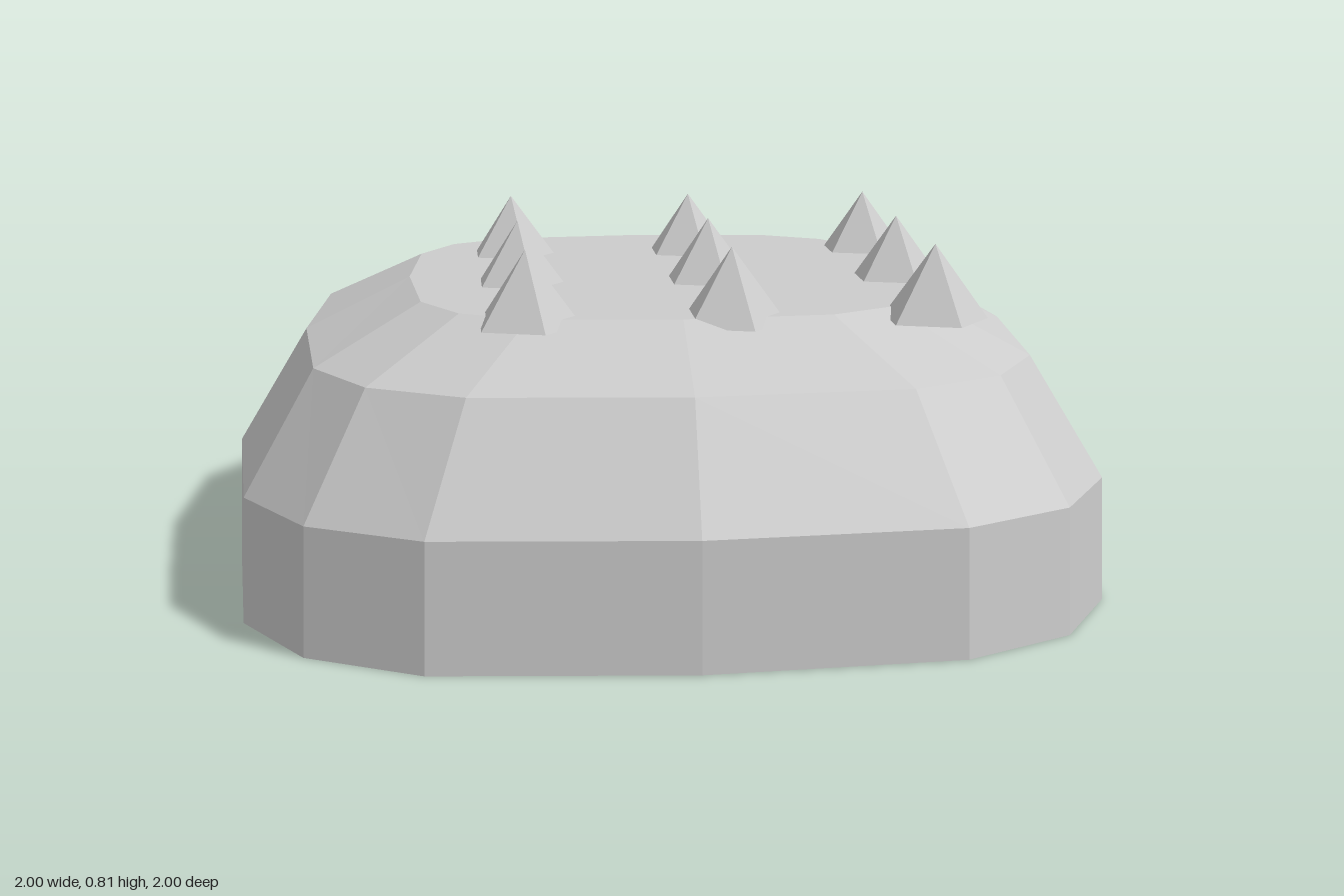
import * as THREE from 'three';

const SIDES = 16;
const ROUNDNESS = 0.6; // superellipse exponent of the plan outline

// Shell cross-sections from rim to crown: [half width x, height, half depth z]
const RINGS = [
  [1, 0, 1],
  [0.99, 0.28, 0.99],
  [0.83, 0.545, 0.85],
  [0.585, 0.665, 0.62],
  [0, 0.665, 0],
];

const squash = (v) => (Math.abs(v) < 1e-6 ? 0 : Math.sign(v) * Math.abs(v) ** ROUNDNESS);

// Lathe whose rings are reshaped into rounded squares
function shellGeometry() {
  const profile = RINGS.map(([r, y]) => new THREE.Vector2(r, y));
  const lathe = new THREE.LatheGeometry(profile, SIDES);
  const pos = lathe.attributes.position;
  for (let i = 0; i < pos.count; i++) {
    const [rx, y, rz] = RINGS[i % RINGS.length];
    const a = (Math.floor(i / RINGS.length) / SIDES) * Math.PI * 2;
    pos.setXYZ(i, rx * squash(Math.sin(a)), y, rz * squash(Math.cos(a)));
  }
  const geometry = lathe.toNonIndexed();
  geometry.computeVertexNormals();
  return geometry;
}

export function createModel() {
  const group = new THREE.Group();
  group.name = 'spikedShell';

  // Hollow shell, open underneath
  const shell = new THREE.Mesh(
    shellGeometry(),
    new THREE.MeshStandardMaterial({ color: 0xcccccc, flatShading: true, side: THREE.DoubleSide })
  );
  shell.name = 'shell';
  group.add(shell);

  // 3 x 3 grid of five-sided spikes sunk slightly into the crown
  const spikes = new THREE.Group();
  spikes.name = 'spikes';
  const base = 0.645, height = 0.165;
  const spikeGeometry = new THREE.ConeGeometry(0.12, height, 5)
    .rotateY(Math.PI / 2)
    .translate(0, base + height / 2, 0);
  const spikeMaterial = new THREE.MeshStandardMaterial({ color: 0xcccccc, flatShading: true });
  const places = [-0.333, 0.111, 0.555];
  for (const x of places) {
    for (const z of places) {
      const spike = new THREE.Mesh(spikeGeometry, spikeMaterial);
      spike.name = 'spike';
      spike.position.set(x, 0, z);
      spikes.add(spike);
    }
  }
  group.add(spikes);
  return group;
}
